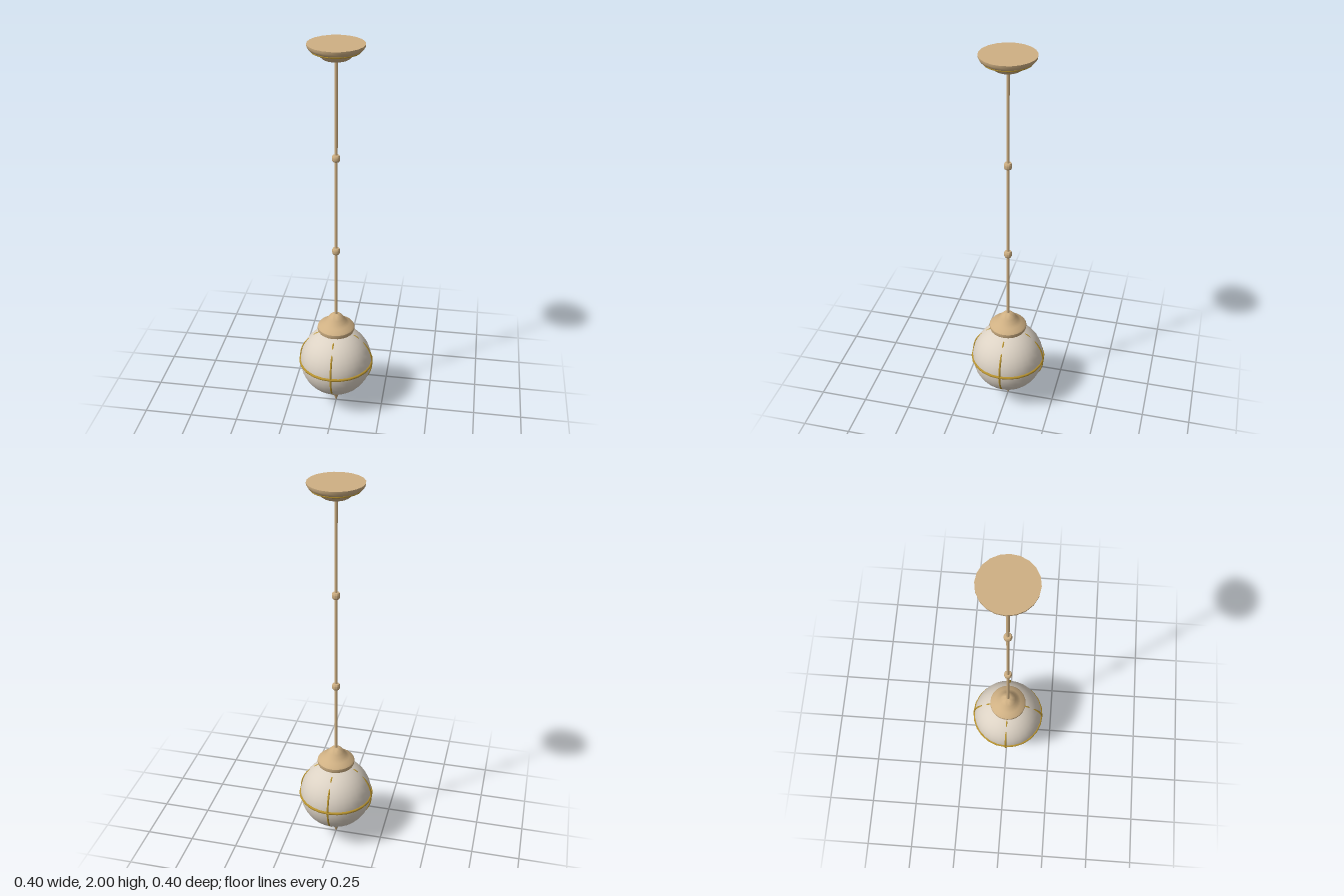
import * as THREE from 'three';
import { toCreasedNormals } from 'three/addons/utils/BufferGeometryUtils.js';

export function createModel() {
  const model = new THREE.Group();
  model.name = 'pendantLamp';
  const material = (name, color) => {
    const m = new THREE.MeshStandardMaterial({ color });
    m.name = name;
    return m;
  };
  const brass = material('paleBrass', 0xcfb083);
  const gold = material('darkGold', 0xb8932f);
  const glass = material('milkGlass', 0xdcd2c4);

  const add = (name, geometry, mat, y = 0) => {
    const mesh = new THREE.Mesh(geometry, mat);
    mesh.name = name;
    mesh.position.y = y;
    model.add(mesh);
    return mesh;
  };
  // Profiles run from bottom to top as [radius, height]
  const turned = (name, profile, segments) => {
    const points = profile.map(([r, y]) => new THREE.Vector2(r, y));
    return add(name, toCreasedNormals(new THREE.LatheGeometry(points, segments), 0.6), brass);
  };
  const ring = (name, radius, tube, y) =>
    add(name, new THREE.TorusGeometry(radius, tube, 8, 24).rotateX(Math.PI / 2), gold, y);

  // Ceiling canopy
  turned('canopy', [[0, 1.928], [0.06, 1.93], [0.07, 1.937], [0.085, 1.957], [0.09, 1.966],
    [0.113, 1.968], [0.127, 1.977], [0.134, 1.989], [0.135, 2], [0, 2]], 20);
  ring('canopyRing', 0.112, 0.005, 1.968);

  // Rod with two joints
  add('rod', new THREE.CylinderGeometry(0.008, 0.008, 1.4, 12), brass, 1.24);
  for (const y of [0.935, 1.44]) {
    turned('rodJoint', [[0.008, y - 0.018], [0.016, y - 0.016], [0.02, y - 0.008],
      [0.02, y + 0.008], [0.016, y + 0.016], [0.008, y + 0.018]], 12);
  }

  // Bell cap over the globe
  turned('bellCap', [[0, 0.455], [0.078, 0.455], [0.08, 0.462], [0.094, 0.464], [0.097, 0.472],
    [0.097, 0.486], [0.09, 0.495], [0.07, 0.506], [0.054, 0.52], [0.042, 0.538],
    [0.03, 0.553], [0.018, 0.561], [0, 0.565]], 24);

  // Glass globe and its equator band
  const centre = 0.272;
  add('globe', new THREE.SphereGeometry(0.19, 28, 20), glass, centre);
  ring('equatorBand', 0.19, 0.0075, centre);

  // Four ribs that dip in and out of the glass
  const halfRib = [[0, 0.191], [12, 0.191], [24, 0.19], [35, 0.1875], [45, 0.183],
    [56, 0.187], [66, 0.182]];
  const ribPoints = [...halfRib.slice(1).reverse().map(([a, r]) => [-a, r]), ...halfRib]
    .map(([a, r]) => {
      const t = THREE.MathUtils.degToRad(a);
      return new THREE.Vector3(r * Math.cos(t), r * Math.sin(t), 0);
    });
  const ribGeometry = new THREE.TubeGeometry(new THREE.CatmullRomCurve3(ribPoints), 40, 0.005, 8);
  for (let i = 0; i < 4; i++) {
    add('rib', ribGeometry, gold, centre).rotation.y = i * Math.PI / 2;
  }

  // Pointed finial below the globe
  turned('finial', [[0, 0], [0.004, 0.008], [0.008, 0.022], [0.016, 0.04], [0.024, 0.056],
    [0.029, 0.07], [0.029, 0.08], [0.024, 0.088], [0, 0.09]], 16);

  return model;
}
